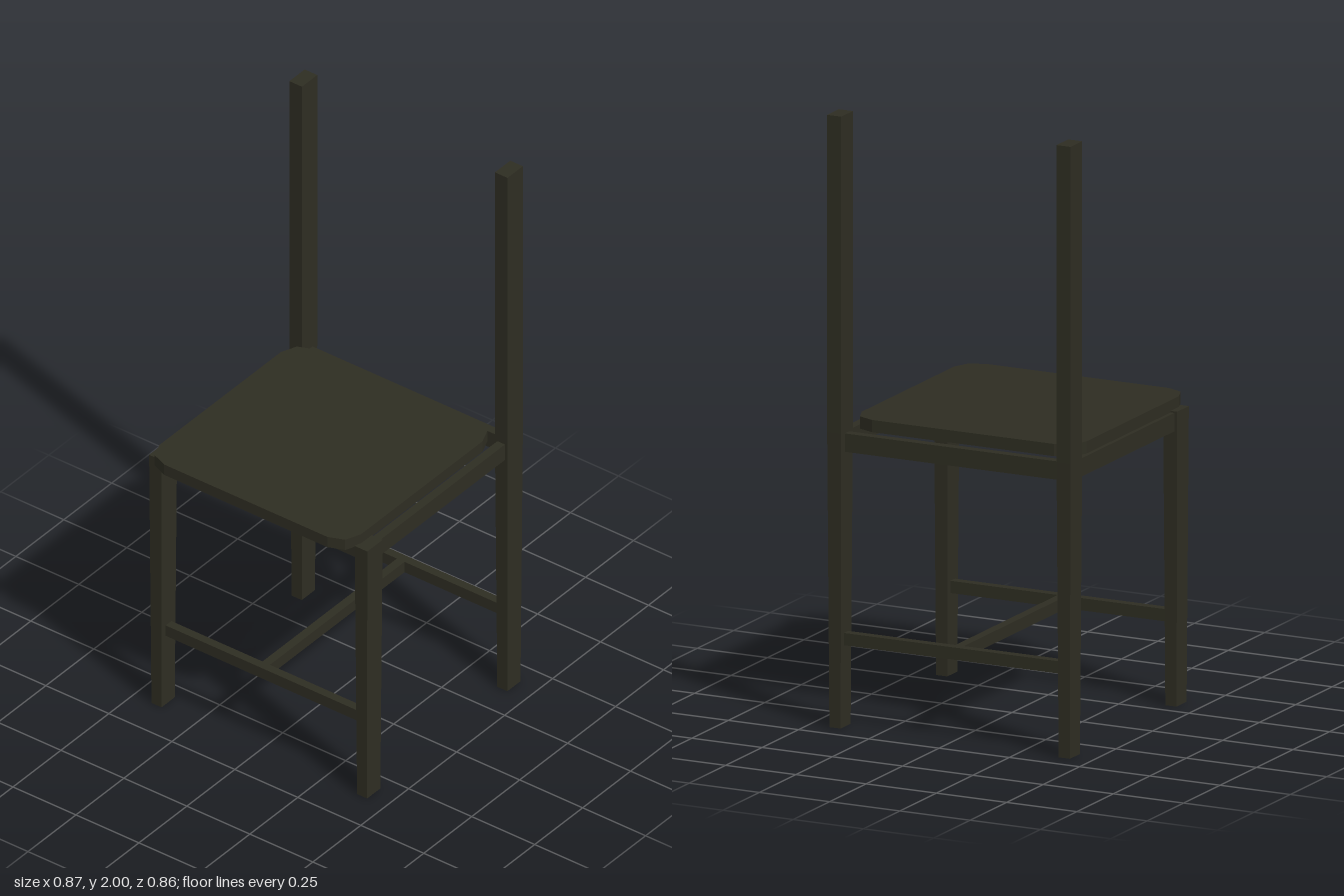
import * as THREE from 'three';

export function createModel() {
  const chair = new THREE.Group();
  chair.name = 'chair';
  const wood = new THREE.MeshStandardMaterial({ color: 0x2e2d22 });
  wood.name = 'darkWood';

  function add(name, geometry, x, y, z) {
    const mesh = new THREE.Mesh(geometry, wood);
    mesh.name = name;
    mesh.position.set(x, y, z);
    chair.add(mesh);
  }
  const box = (name, w, h, d, x, y, z) => add(name, new THREE.BoxGeometry(w, h, d), x, y, z);

  // Square leg, slightly narrower at the foot
  function taperedLeg(height) {
    const g = new THREE.BoxGeometry(0.05, height, 0.08);
    const p = g.attributes.position;
    for (let i = 0; i < p.count; i++) {
      if (p.getY(i) < 0) {
        p.setX(i, p.getX(i) * 0.8);
        p.setZ(i, p.getZ(i) * 0.86);
      }
    }
    g.computeVertexNormals();
    return g;
  }

  const legX = 0.408, backZ = -0.393, frontZ = 0.338, legTop = 0.965;

  // Legs, back posts and side rails
  for (const [side, s] of [['left', 1], ['right', -1]]) {
    add(side + 'FrontLeg', taperedLeg(legTop), s * legX, legTop / 2, frontZ);
    add(side + 'BackLeg', taperedLeg(legTop), s * legX, legTop / 2, backZ);
    box(side + 'BackPost', 0.05, 2 - legTop, 0.08, s * legX, (2 + legTop) / 2, backZ);
    box(side + 'SideRail', 0.03, 0.06, 0.69, s * legX, 0.93, -0.027);
  }

  // Front and back rails with the stretchers below them
  for (const [end, z] of [['front', frontZ], ['back', backZ]]) {
    box(end + 'Rail', 0.8, 0.06, 0.03, 0, 0.93, z);
    box(end + 'Stretcher', 0.8, 0.04, 0.03, 0, 0.288, z);
  }
  box('middleStretcher', 0.03, 0.04, frontZ - backZ - 0.02, -0.01, 0.288, (frontZ + backZ) / 2);

  // Seat board with two-step clipped corners
  const hw = 0.4, hd = 0.3925;
  const corner = [[hw, hd - 0.076], [hw - 0.022, hd - 0.022], [hw - 0.076, hd]];
  const outline = [];
  for (const [sx, sy] of [[1, 1], [-1, 1], [-1, -1], [1, -1]]) {
    const pts = corner.map(([x, y]) => new THREE.Vector2(sx * x, sy * y));
    outline.push(...(sx * sy > 0 ? pts : pts.reverse()));
  }
  const seat = new THREE.ExtrudeGeometry(new THREE.Shape(outline), { depth: 0.04, bevelEnabled: false });
  seat.rotateX(-Math.PI / 2);
  add('seat', seat, -0.01, 0.96, 0.0375);

  return chair;
}
